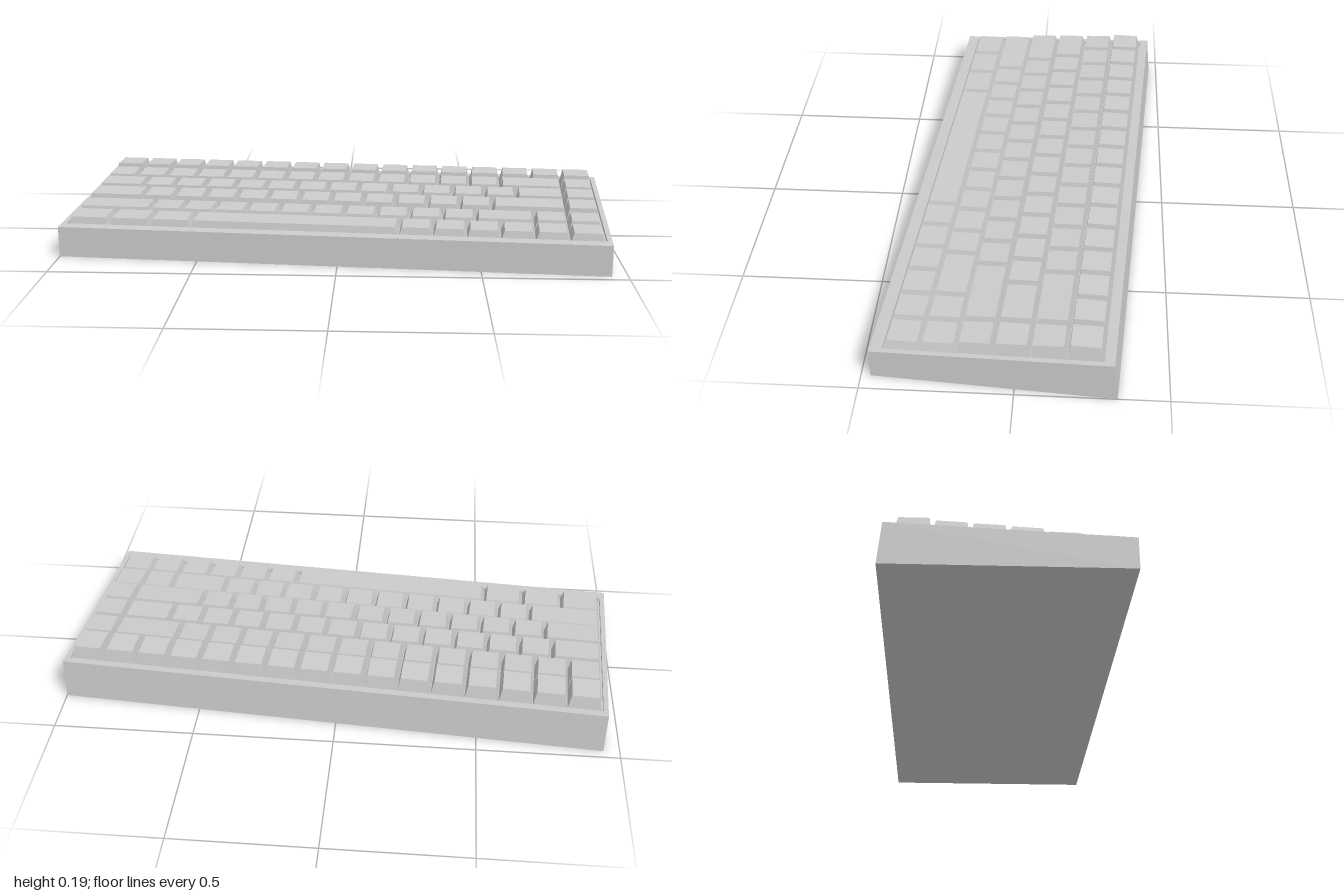
import * as THREE from 'three';

const W = 1.948, D = 0.803;          // case footprint
const UX = 0.119, UZ = 0.118;        // key pitch across and along
const WELL_X = 0.957, WELL_Z = 0.359; // half size of the key well

const material = new THREE.MeshStandardMaterial({ color: 0xcccccc, flatShading: true });

// Height of the sloping case rim at depth z
const rimY = (z) => 0.11 + (0.4015 - z) * 0.0475;

// Key widths, back row first, with heights of the front and back edge of the tops
const ROWS = [
  { name: 'functionRow', top: [0.187, 0.187], keys: Array(16).fill(1) },
  { name: 'numberRow', top: [0.173, 0.178], keys: [...Array(13).fill(1), 2, 1] },
  { name: 'upperLetterRow', top: [0.166, 0.17], keys: [1.5, ...Array(12).fill(1), 1.5, 1] },
  { name: 'homeRow', top: [0.157, 0.162], keys: [1.75, ...Array(11).fill(1), 2.25, 1] },
  { name: 'lowerLetterRow', top: [0.143, 0.146], keys: [2.25, ...Array(10).fill(1), 1.75, 1, 1] },
  { name: 'spaceRow', top: [0.135, 0.138], keys: [1.25, 1.25, 1.25, 6.25, ...Array(6).fill(1)] },
];

// Move every vertex of a geometry by a rule
function reshape(geometry, rule) {
  const p = geometry.attributes.position;
  const v = new THREE.Vector3();
  for (let i = 0; i < p.count; i++) {
    v.fromBufferAttribute(p, i);
    rule(v);
    p.setXYZ(i, v.x, v.y, v.z);
  }
  geometry.computeVertexNormals();
  return geometry;
}

function addMesh(parent, name, geometry) {
  const mesh = new THREE.Mesh(geometry, material);
  mesh.name = name;
  parent.add(mesh);
  return mesh;
}

function rectangle(path, hx, hz) {
  path.moveTo(-hx, -hz);
  path.lineTo(hx, -hz);
  path.lineTo(hx, hz);
  path.lineTo(-hx, hz);
  path.closePath();
  return path;
}

// Case walls: a frame with sloping top and leaning back
function caseFrame() {
  const shape = rectangle(new THREE.Shape(), W / 2, D / 2);
  shape.holes.push(rectangle(new THREE.Path(), WELL_X, WELL_Z));
  const geometry = new THREE.ExtrudeGeometry(shape, { depth: 1, bevelEnabled: false });
  geometry.rotateX(-Math.PI / 2);
  return reshape(geometry, (v) => {
    if (v.y > 0.5) {
      if (v.z < -0.4) v.z += 0.0145;
      v.y = rimY(v.z);
    } else v.y = 0;
  });
}

// Floor of the key well, down to the ground
function caseFloor() {
  const geometry = new THREE.BoxGeometry(2 * WELL_X, 1, 2 * WELL_Z);
  return reshape(geometry, (v) => { v.y = v.y > 0 ? rimY(v.z) - 0.015 : 0; });
}

// Tapered keycap between x0 and x1, zBack and zFront
function keycap(x0, x1, zBack, zFront, [topFront, topBack]) {
  const gap = 0.001;
  return reshape(new THREE.BoxGeometry(1, 1, 1), (v) => {
    const top = v.y > 0, front = v.z > 0, left = v.x > 0;
    const side = top ? 0.012 : gap;
    v.x = left ? x1 - side : x0 + side;
    v.z = front ? zFront - (top ? 0.007 : gap) : zBack + (top ? 0.013 : gap);
    if (top) v.y = front ? topFront : topBack;
    else v.y = rimY(v.z) - 0.012;
  });
}

export function createModel() {
  const model = new THREE.Group();
  model.name = 'keyboard';
  const board = new THREE.Group();
  board.name = 'board';
  board.rotation.y = -0.0705; // turned slightly on the desk
  model.add(board);

  addMesh(board, 'caseFrame', caseFrame());
  addMesh(board, 'caseFloor', caseFloor());

  ROWS.forEach((row, r) => {
    const group = new THREE.Group();
    group.name = row.name;
    board.add(group);
    const zBack = (r - 3) * UZ;
    let x = -8 * UX;
    for (const units of row.keys) {
      const name = units > 6 ? 'spaceBar' : 'keycap';
      addMesh(group, name, keycap(x, x + units * UX, zBack, zBack + UZ, row.top));
      x += units * UX;
    }
  });
  return model;
}
